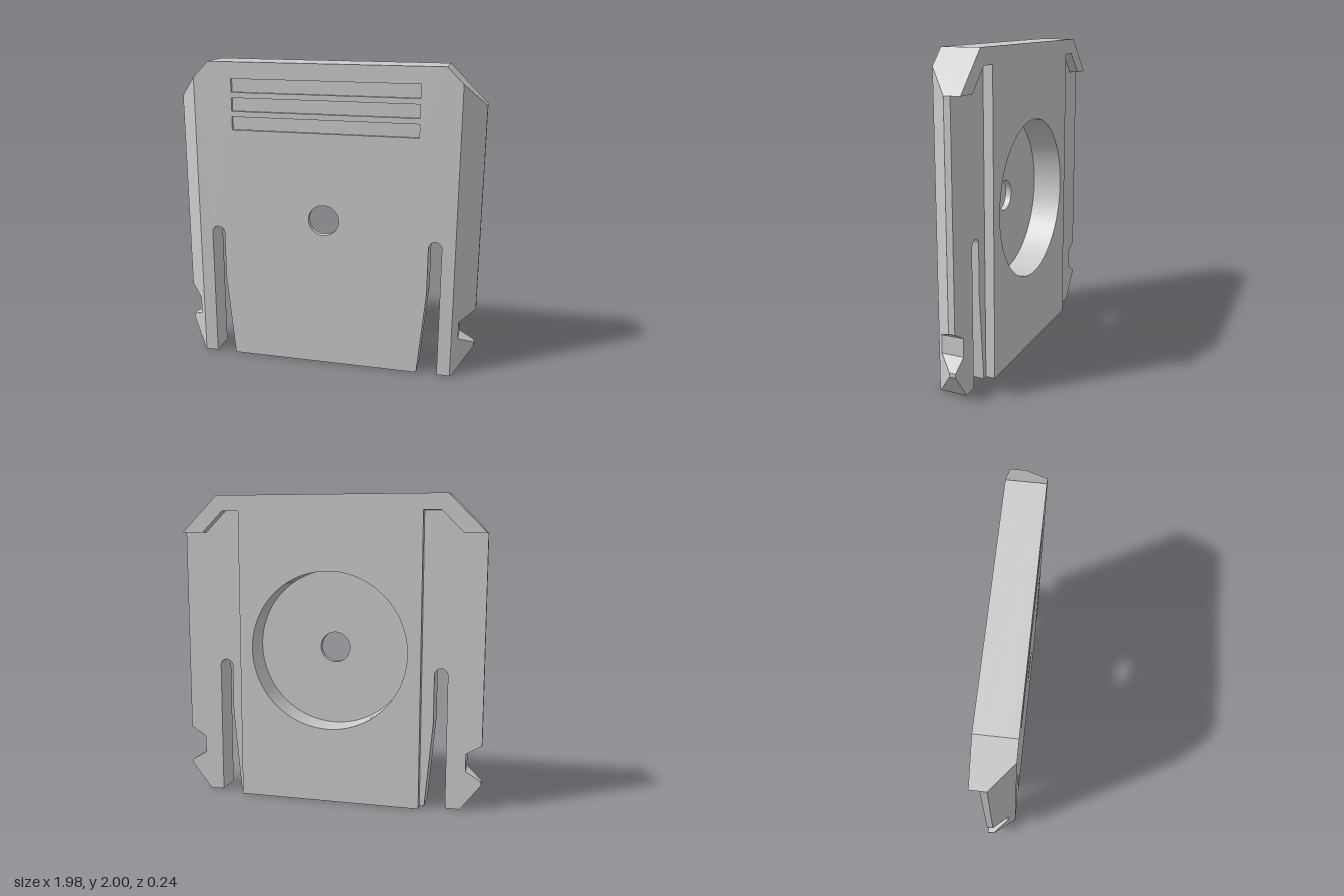
import * as THREE from 'three';
import { toCreasedNormals } from 'three/addons/utils/BufferGeometryUtils.js';

const material = new THREE.MeshStandardMaterial({ color: 0xcccccc });
const HOLE_Y = 1.005;

// Closed shape from one half outline (x > 0, bottom to top), mirrored across x = 0
function mirroredShape(half) {
  const left = half.map(([x, y]) => [-x, y]).reverse();
  return new THREE.Shape([...half, ...left].map(([x, y]) => new THREE.Vector2(x, y)));
}

function addRoundHole(shape, radius) {
  shape.holes.push(new THREE.Path().absarc(0, HOLE_Y, radius, 0, Math.PI * 2, true));
}

function layer(name, shape, z0, z1) {
  const geo = new THREE.ExtrudeGeometry(shape, { depth: z1 - z0, bevelEnabled: false, curveSegments: 48 });
  geo.translate(0, 0, z0);
  const mesh = new THREE.Mesh(toCreasedNormals(geo, 0.4), material);
  mesh.name = name;
  return mesh;
}

// Plate outline with the two tapered, round-topped slots open at the bottom
function plateShape() {
  const half = [[0.63, 0], [0.68, 0.56]];
  const r = 0.0425;
  for (let i = 0; i <= 12; i++) {
    const a = Math.PI * (1 - i / 12);
    half.push([0.7225 + r * Math.cos(a), 0.8725 + r * Math.sin(a)]);
  }
  half.push([0.765, 0], [0.85, 0], [0.85, 1.9], [0.75, 2]);
  return mirroredShape(half);
}

// Piece of the bevelled side edge: x0..x1, with bottom and top heights at both ends
function edgePiece(name, side, [x0, x1], [b0, b1], [t0, t1]) {
  const geo = new THREE.BoxGeometry(1, 1, 1);
  const p = geo.attributes.position;
  for (let i = 0; i < p.count; i++) {
    const t = side * p.getX(i) + 0.5;
    const x = THREE.MathUtils.lerp(x0, x1, t);
    const y = p.getY(i) > 0 ? THREE.MathUtils.lerp(t0, t1, t) : THREE.MathUtils.lerp(b0, b1, t);
    p.setXYZ(i, side * x, y, p.getZ(i) > 0 ? 0.97 - x : -0.06);
  }
  const flat = geo.toNonIndexed();
  flat.computeVertexNormals();
  const mesh = new THREE.Mesh(flat, material);
  mesh.name = name;
  return mesh;
}

export function createModel() {
  const group = new THREE.Group();
  group.name = 'cover';

  // Front skin with three shallow grooves
  const front = plateShape();
  addRoundHole(front, 0.1);
  for (const y of [1.57, 1.69, 1.81]) {
    front.holes.push(new THREE.Path([[-0.6, y], [-0.6, y + 0.085], [0.6, y + 0.085], [0.6, y]]
      .map(([px, py]) => new THREE.Vector2(px, py))));
  }
  group.add(layer('groovedFront', front, 0.1, 0.12));

  // Floor of the round recess
  const floor = plateShape();
  addRoundHole(floor, 0.1);
  group.add(layer('recessFloor', floor, 0.08, 0.1));

  // Main thickness around the recess
  const core = plateShape();
  addRoundHole(core, 0.515);
  group.add(layer('plateCore', core, -0.06, 0.08));

  // Raised back pad with corner lips at the top
  const back = mirroredShape([[0.6, 0], [0.6, 1.9], [0.71, 1.9], [0.85, 1.76], [0.99, 1.76], [0.75, 2]]);
  addRoundHole(back, 0.515);
  group.add(layer('backPad', back, -0.12, -0.06));

  // Bevelled side edges with the catch notch and the tooth below it
  for (const side of [1, -1]) {
    const edge = new THREE.Group();
    edge.name = side > 0 ? 'leftEdge' : 'rightEdge';
    edge.add(
      edgePiece('innerBevel', side, [0.85, 0.86], [0, 0], [1.9, 1.89]),
      edgePiece('middleBevel', side, [0.86, 0.89], [0, 0.04], [1.89, 1.86]),
      edgePiece('outerBevel', side, [0.89, 0.99], [0.37, 0.43], [1.86, 1.76]),
      edgePiece('catchTooth', side, [0.89, 0.99], [0.04, 0.17], [0.255, 0.195]),
    );
    group.add(edge);
  }
  return group;
}
